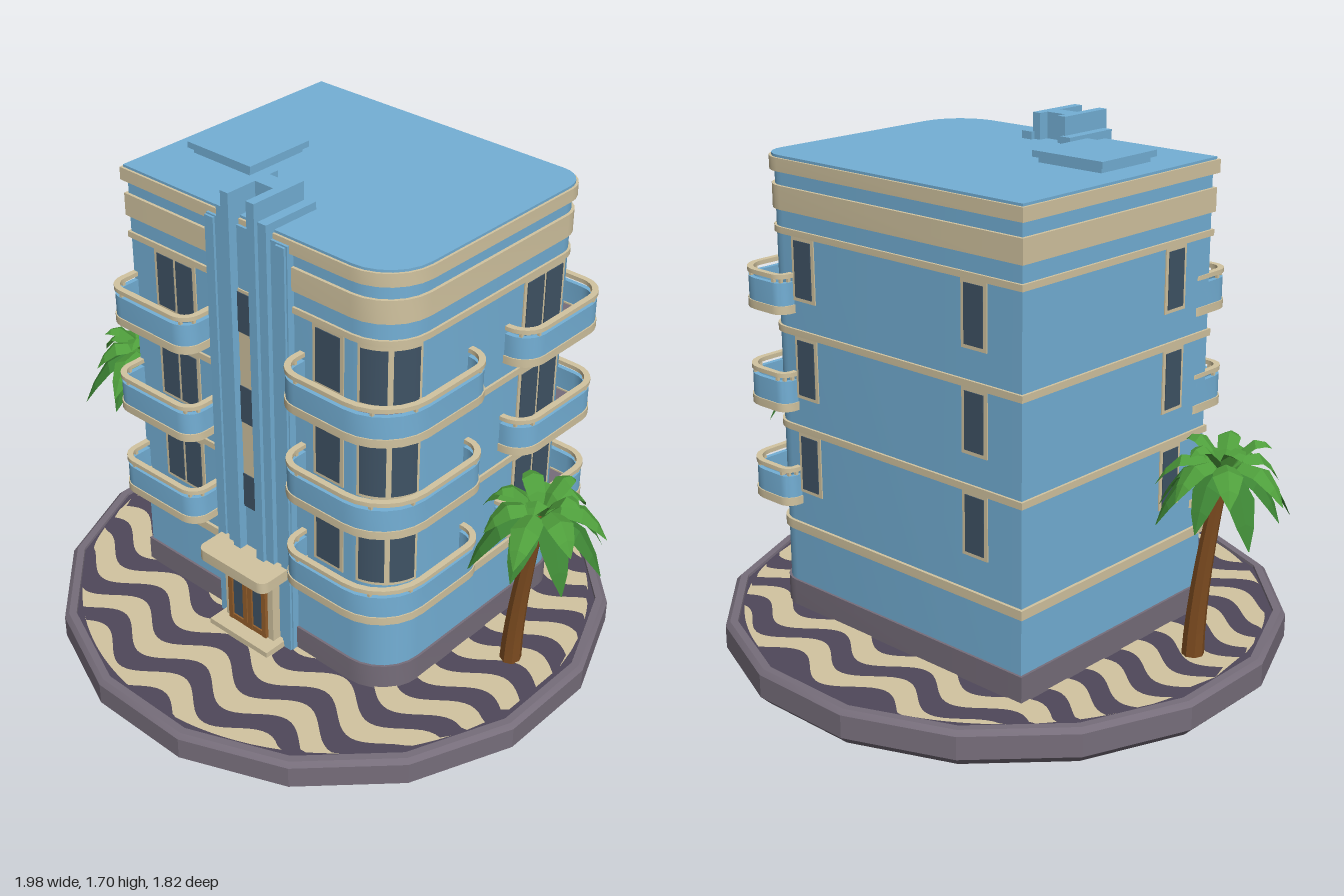
import * as THREE from 'three';
import { toCreasedNormals } from 'three/addons/utils/BufferGeometryUtils.js';

const mat = (name, color, side = THREE.FrontSide) => new THREE.MeshStandardMaterial({ name, color, side });

export function createModel() {
  const blue = mat('wall blue', 0x74b0d6);
  const cream = mat('cream trim', 0xd2c4a0);
  const grey = mat('plinth grey', 0x766d7a);
  const dark = mat('paving dark', 0x4f485a);
  const glass = mat('window glass', 0x3f5365);
  const wood = mat('door wood', 0x96602c);
  const bark = mat('palm trunk', 0x7d4c20);
  const leafA = mat('palm leaf', 0x4f9f3c, THREE.DoubleSide);
  const leafB = mat('palm leaf dark', 0x3d8434, THREE.DoubleSide);

  const root = new THREE.Group();
  const group = (name, parent = root) => {
    const g = new THREE.Group();
    g.name = name;
    parent.add(g);
    return g;
  };
  const add = (parent, name, geo, material) => {
    const m = new THREE.Mesh(geo, material);
    m.name = name;
    parent.add(m);
    return m;
  };
  // Box given by its limits on each axis
  const box = (parent, name, material, x0, x1, y0, y1, z0, z1) =>
    add(parent, name, new THREE.BoxGeometry(x1 - x0, y1 - y0, z1 - z0), material)
      .position.set((x0 + x1) / 2, (y0 + y1) / 2, (z0 + z1) / 2);

  // Plan outline with one radius per corner: front -x, front +x, back +x, back -x
  const plan = (x0, x1, z0, z1, radii, o = 0) => {
    const pts = [];
    radii.forEach((r0, i) => {
      const r = r0 > 0 ? Math.max(r0 + o, 0.005) : 0;
      const right = i === 1 || i === 2, front = i < 2;
      const cx = right ? x1 + o - r : x0 - o + r;
      const cy = front ? -(z1 + o) + r : -(z0 - o) - r;
      const n = r > 0 ? 6 : 0;
      for (let k = 0; k <= n; k++) {
        const a = Math.PI * (1 + i / 2) + (n ? (k / n) * Math.PI / 2 : 0);
        pts.push(new THREE.Vector2(cx + r * Math.cos(a), cy + r * Math.sin(a)));
      }
    });
    return pts;
  };
  const slab = (parent, name, material, pts, y0, y1, hole) => {
    const shape = new THREE.Shape(pts);
    if (hole) shape.holes.push(new THREE.Path(hole));
    const geo = new THREE.ExtrudeGeometry(shape, { depth: y1 - y0, bevelEnabled: false });
    geo.rotateX(-Math.PI / 2).translate(0, y0, 0);
    add(parent, name, toCreasedNormals(geo, 0.5), material);
  };

  // Round paved base with a raised rim
  const base = group('base');
  const profile = [[0, 0], [0.9, 0], [0.93, 0.03], [0.93, 0.105], [0.915, 0.12], [0.89, 0.12], [0.885, 0.1]]
    .map(([x, y]) => new THREE.Vector2(x, y));
  const rim = new THREE.LatheGeometry(profile, 16).rotateY(Math.PI / 16);
  add(base, 'baseRim', toCreasedNormals(rim, 0.3), grey);
  add(base, 'paving', new THREE.CylinderGeometry(0.89, 0.89, 0.05, 16).rotateY(Math.PI / 16).translate(0, 0.087, 0), dark);

  // Wavy paving bands, clipped to the round base
  const waveBand = z0 => {
    const pos = [], step = 0.02, R = 0.865;
    const edge = (x, s) => {
      const lim = Math.sqrt(Math.max(R * R - x * x, 0));
      const z = z0 - 0.05 * Math.cos(x * 2 * Math.PI / 0.38) + s * 0.044;
      return THREE.MathUtils.clamp(z, -lim, lim);
    };
    for (let x = -R; x < R - step / 2; x += step) {
      const x2 = x + step, a = edge(x, -1), b = edge(x, 1), c = edge(x2, 1), d = edge(x2, -1);
      if (b - a + c - d < 1e-4) continue;
      const y = 0.1155;
      pos.push(x, y, a, x, y, b, x2, y, c, x, y, a, x2, y, c, x2, y, d);
    }
    const g = new THREE.BufferGeometry();
    g.setAttribute('position', new THREE.Float32BufferAttribute(pos, 3));
    g.computeVertexNormals();
    add(base, 'wavePaving', g, cream);
  };
  for (let i = 0; i < 10; i++) waveBand(-0.74 + i * 0.172);

  // Building body: layers sharing one footprint
  const body = group('building');
  const foot = o => plan(-0.53, 0.54, -0.51, 0.355, [0, 0.15, 0.08, 0], o);
  slab(body, 'walls', blue, foot(0), 0.15, 1.6);
  slab(body, 'plinth', grey, foot(0.008), 0.1, 0.2);
  for (const [y0, y1, o] of [[0.385, 0.415, 0.01], [0.73, 0.752, 0.008], [1.05, 1.072, 0.008],
    [1.37, 1.39, 0.008], [1.445, 1.52, 0.01], [1.565, 1.607, 0.016]])
    slab(body, 'trimBand', cream, foot(o), y0, y1);
  slab(body, 'roof', blue, foot(0.008), 1.6, 1.615);
  box(body, 'roofHut', blue, -0.44, -0.2, 1.61, 1.64, -0.07, 0.16);
  box(body, 'roofHutLid', blue, -0.455, -0.185, 1.632, 1.652, -0.083, 0.172);

  // Flat window facing +z in its own group
  const windowAt = (x, y, z, turn, w, h, panes) => {
    const g = group('window');
    g.position.set(x, y, z);
    g.rotation.y = turn;
    box(g, 'windowFrame', cream, -w / 2, w / 2, 0, h, -0.01, 0.004);
    const pw = (w - 0.014) / panes;
    for (let i = 0; i < panes; i++) {
      const px = -w / 2 + 0.007 + i * pw;
      box(g, 'windowPane', glass, px + 0.006, px + pw - 0.006, 0.012, h - 0.012, 0, 0.007);
    }
  };
  // Window bent around the rounded front corner
  const cornerPiece = (name, material, r, a0, a1, y0, y1) => add(root, name,
    new THREE.CylinderGeometry(r, r, y1 - y0, 8, 1, true, THREE.MathUtils.degToRad(a0), THREE.MathUtils.degToRad(a1 - a0))
      .translate(0.39, (y0 + y1) / 2, 0.205), material);

  // Balcony: floor, parapet, rail and posts
  const balcony = (y, x0, x1, z0, z1, radii) => {
    const g = group('balcony');
    const p = o => plan(x0, x1, z0, z1, radii, o);
    slab(g, 'balconyFloor', grey, p(-0.01), y, y + 0.02);
    slab(g, 'balconyBase', cream, p(0.004), y - 0.002, y + 0.025, p(-0.02));
    slab(g, 'balconyParapet', blue, p(0), y + 0.02, y + 0.098, p(-0.016));
    slab(g, 'balconyRail', cream, p(0.003), y + 0.112, y + 0.126, p(-0.017));
    p(-0.008).forEach((v, i) => {
      if (i % 3 === 0) box(g, 'railPost', cream, v.x - 0.005, v.x + 0.005, y + 0.09, y + 0.115, -v.y - 0.005, -v.y + 0.005);
    });
  };

  // Three matching upper floors
  for (let f = 0; f < 3; f++) {
    const y = 0.485 + f * 0.32, wy = y + 0.04, h = 0.205;
    balcony(y, -0.53, -0.18, 0.28, 0.47, [0.06, 0.06, 0.03, 0.03]);
    balcony(y, 0.19, 0.63, 0, 0.47, [0.08, 0.17, 0.08, 0.03]);
    balcony(y, 0.42, 0.63, -0.565, -0.16, [0.03, 0.08, 0.09, 0.04]);
    windowAt(-0.335, wy, 0.355, 0, 0.18, h, 2);
    windowAt(0.3, wy, 0.355, 0, 0.12, h, 1);
    windowAt(0.54, wy, -0.34, Math.PI / 2, 0.2, h, 2);
    windowAt(-0.53, wy, 0.18, -Math.PI / 2, 0.1, h, 1);
    for (const x of [0.37, -0.35]) windowAt(x, wy, -0.51, Math.PI, 0.1, h, 1);
    cornerPiece('cornerWindowFrame', cream, 0.154, 8, 82, wy, wy + h);
    for (const a of [12, 48]) cornerPiece('cornerWindowPane', glass, 0.157, a, a + 30, wy + 0.012, wy + h - 0.012);
  }

  // Stepped central tower
  const tower = group('tower');
  box(tower, 'towerBlock', blue, -0.16, 0.165, 0.1, 1.59, 0.17, 0.38);
  box(tower, 'towerCrossWall', blue, -0.06, 0.065, 1.5, 1.7, 0.24, 0.3);
  for (const s of [-1, 1]) {
    const fin = (name, a, b, y0, y1, z0, z1) =>
      box(tower, name, blue, Math.min(s * a, s * b), Math.max(s * a, s * b), y0, y1, z0, z1);
    fin('outerFin', 0.125, 0.16, 0.1, 1.585, 0.3, 0.388);
    fin('middleFin', 0.06, 0.1, 0.43, 1.64, 0.19, 0.397);
    fin('innerFin', 0.036, 0.067, 0.43, 1.7, 0.205, 0.41);
  }
  box(tower, 'towerPanel', cream, -0.037, 0.037, 0.6, 1.385, 0.375, 0.384);
  for (let f = 0; f < 3; f++)
    box(tower, 'towerWindow', glass, -0.037, 0.037, 0.6 + f * 0.32, 0.725 + f * 0.325, 0.38, 0.387);

  // Entrance with canopy, step and double door
  const entrance = group('entrance');
  slab(entrance, 'canopy', cream, plan(-0.145, 0.15, 0.36, 0.5, [0.03, 0.03, 0, 0]), 0.4, 0.44);
  box(entrance, 'step', cream, -0.13, 0.13, 0.11, 0.135, 0.36, 0.47);
  box(entrance, 'doorSurround', cream, -0.11, 0.105, 0.12, 0.4, 0.36, 0.412);
  box(entrance, 'doorGlass', glass, -0.082, 0.077, 0.14, 0.365, 0.4, 0.417);
  for (const x of [-0.078, -0.012, 0.01, 0.073])
    box(entrance, 'doorStile', wood, x - 0.009, x + 0.009, 0.14, 0.365, 0.41, 0.424);
  for (const y of [0.15, 0.355]) box(entrance, 'doorRail', wood, -0.082, 0.077, y - 0.01, y + 0.01, 0.41, 0.423);

  // Drooping leaf folded along its midrib, running along +x
  const leafGeo = (len, lift, drop, width) => {
    const st = [[0, 0.2], [0.3, 0.8], [0.62, 1], [0.85, 0.6], [1, 0.03]];
    const pos = [];
    const at = ([t, w], s) => [t * len, lift * Math.sin(t * 2.2) - drop * t * t - Math.abs(s) * w * width * 0.45, s * w * width];
    for (let i = 0; i < st.length - 1; i++) {
      const a = st[i], b = st[i + 1];
      pos.push(...at(a, 0), ...at(a, 1), ...at(b, 1), ...at(a, 0), ...at(b, 1), ...at(b, 0),
        ...at(a, -1), ...at(a, 0), ...at(b, 0), ...at(a, -1), ...at(b, 0), ...at(b, -1));
    }
    const g = new THREE.BufferGeometry();
    g.setAttribute('position', new THREE.Float32BufferAttribute(pos, 3));
    g.computeVertexNormals();
    return g;
  };
  const palm = (bx, bz, tx, tz) => {
    const g = group('palm');
    const H = 0.62, y0 = 0.11;
    const trunk = new THREE.CylinderGeometry(0.021, 0.036, H, 8, 8).translate(0, H / 2, 0);
    const p = trunk.attributes.position;
    for (let i = 0; i < p.count; i++) {
      const k = Math.pow(Math.max(p.getY(i) / H, 0), 1.6);
      p.setXYZ(i, p.getX(i) + bx + (tx - bx) * k, p.getY(i) + y0, p.getZ(i) + bz + (tz - bz) * k);
    }
    add(g, 'palmTrunk', toCreasedNormals(trunk, 0.3), bark);
    const crown = group('palmCrown', g);
    crown.position.set(tx, y0 + H - 0.01, tz);
    const tier = (n, phase, len, lift, drop, width, m) => {
      for (let i = 0; i < n; i++) {
        const v = 1 + 0.1 * Math.sin(i * 2.7 + phase);
        add(crown, 'palmLeaf', leafGeo(len * v, lift, drop * v, width), m)
          .rotation.y = phase + i * 2 * Math.PI / n;
      }
    };
    tier(8, 0.2, 0.205, 0.08, 0.2, 0.045, leafB);
    tier(7, 0.5, 0.195, 0.11, 0.13, 0.045, leafA);
    tier(5, 0.1, 0.13, 0.12, 0.01, 0.035, leafA);
  };
  palm(0.705, -0.07, 0.785, -0.06);
  palm(-0.72, 0.08, -0.785, 0.11);

  return root;
}
